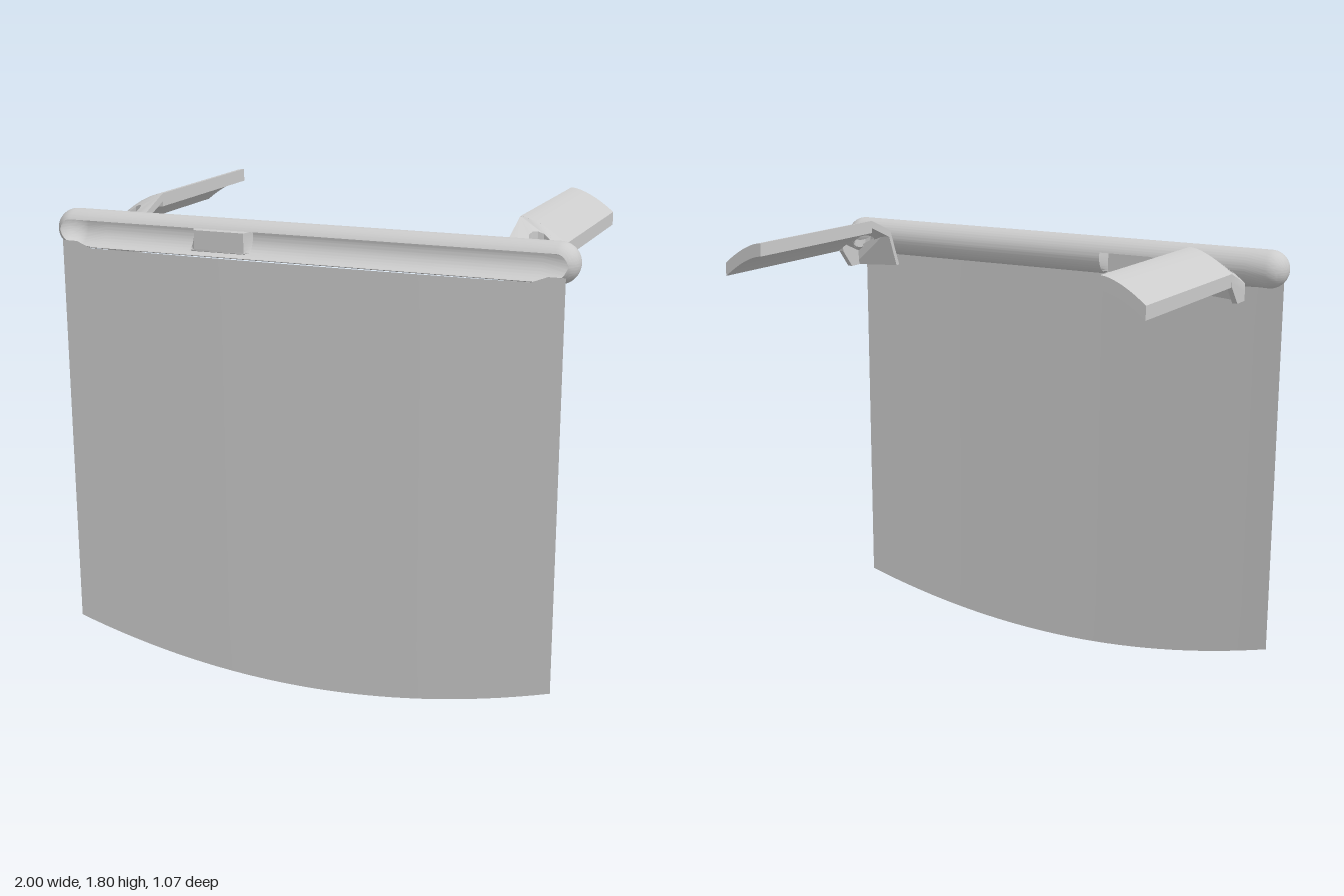
import * as THREE from 'three';
import { toCreasedNormals } from 'three/addons/utils/BufferGeometryUtils.js';
import { ConvexGeometry } from 'three/addons/geometries/ConvexGeometry.js';

const material = new THREE.MeshStandardMaterial({ color: 0xcccccc, side: THREE.DoubleSide });

function addMesh(parent, name, geometry) {
  const mesh = new THREE.Mesh(geometry, material);
  mesh.name = name;
  parent.add(mesh);
}

// Surface through rows x cols points given by a rule
function gridSurface(rows, cols, point) {
  const positions = [], index = [];
  for (let i = 0; i <= rows; i++) {
    for (let j = 0; j <= cols; j++) {
      positions.push(...point(i, j));
      if (i === rows || j === cols) continue;
      const a = i * (cols + 1) + j, b = a + cols + 1;
      index.push(a, b, a + 1, b, b + 1, a + 1);
    }
  }
  const geometry = new THREE.BufferGeometry();
  geometry.setAttribute('position', new THREE.Float32BufferAttribute(positions, 3));
  geometry.setIndex(index);
  geometry.computeVertexNormals();
  return geometry;
}

// Hollow round-ended bar, open along its front, with a pocket in its back
function barGeometry() {
  const R = 0.073, straight = 0.927, cy = 1.695, cz = 0.467, cols = 80;
  const stations = [-0.85, -0.485, -0.48, -0.46, -0.26, -0.24, -0.235, 0, 0.4, 0.85];
  for (let k = 0; k <= 12; k++) {
    const x = straight + R * Math.sin(k / 12 * Math.PI / 2);
    stations.push(x, -x);
  }
  stations.sort((a, b) => a - b);
  const bar = gridSurface(stations.length - 1, cols, (i, j) => {
    const x = stations[i];
    const over = Math.max(0, Math.abs(x) - straight);
    const r = Math.sqrt(Math.max(0, R * R - over * over));
    const upper = r > 0.061 ? Math.acos(0.061 / r) : 0;
    const lower = upper * (Math.abs(x) < 0.9 ? 1.9 : 1.2);
    const a = upper + (Math.PI * 2 - upper - lower) * j / cols;
    const y = cy + r * Math.sin(a);
    let z = cz + r * Math.cos(a);
    const inPocket = x > -0.47 && x < -0.25 && y > 1.633 && y < 1.712;
    if (inPocket && Math.cos(a) < 0) z = Math.max(z, 0.435);
    return [x, y, z];
  });
  return toCreasedNormals(bar, 0.6);
}

// Thin, slightly bowed sheet with a curved lower edge
function sheetGeometry() {
  const rows = 32, cols = 8;
  return gridSurface(rows, cols, (i, j) => {
    const t = i / rows * 2 - 1;
    const bottom = 0.138 * t * t;
    const top = Math.abs(t) > 0.93 ? 1.655 : 1.632;
    return [t * 0.963, bottom + (top - bottom) * j / cols, 0.523 + 0.014 * (1 - t * t)];
  });
}

// Height of the arched upper face across an arm
const inner = 0.71, outer = 0.88, bend = 0.2, tip = 0.335;
const arch = x => 1.797 - 0.087 * Math.pow(Math.max(0, (x - inner) / (outer - inner)), 1.6);

function armGeometry() {
  const top = [], bottom = [], n = 12;
  for (let i = 0; i <= n; i++) {
    const x = inner + (outer - inner) * i / n;
    top.push(new THREE.Vector2(x, arch(x)));
    bottom.unshift(new THREE.Vector2(x, arch(x) - 0.05));
  }
  const geometry = new THREE.ExtrudeGeometry(new THREE.Shape([...top, ...bottom]),
    { depth: 0.73, bevelEnabled: false });
  geometry.translate(0, 0, -0.53);
  return toCreasedNormals(geometry, 0.5);
}

// Sloping plate with a round hole
function plateGeometry() {
  const near = [], far = [], n = 8;
  for (let i = 0; i <= n; i++) {
    const x = inner + (outer - inner) * i / n;
    near.push(new THREE.Vector2(x, bend));
    far.unshift(new THREE.Vector2(x, tip));
  }
  const shape = new THREE.Shape([...near, ...far]);
  const hole = [];
  for (let i = 0; i < 12; i++) {
    const a = i / 12 * Math.PI * 2;
    hole.push(new THREE.Vector2(0.808 + 0.041 * Math.cos(a), 0.283 + 0.046 * Math.sin(a)));
  }
  shape.holes.push(new THREE.Path(hole));
  const geometry = new THREE.ExtrudeGeometry(shape, { depth: 0.03, bevelEnabled: false });
  geometry.rotateX(Math.PI / 2);
  const p = geometry.attributes.position;
  for (let i = 0; i < p.count; i++) {
    p.setY(i, p.getY(i) + arch(p.getX(i)) - 0.4 * (p.getZ(i) - bend));
  }
  geometry.computeVertexNormals();
  return toCreasedNormals(geometry, 0.5);
}

// Outer wall below the sloping plate, drawn as z, y
function wallGeometry() {
  const outline = [[0.2, 1.708], [0.205, 1.66], [0.265, 1.59], [tip, 1.59], [tip, 1.655]];
  const shape = new THREE.Shape(outline.map(([z, y]) => new THREE.Vector2(z, y)));
  const geometry = new THREE.ExtrudeGeometry(shape, { depth: 0.02, bevelEnabled: false });
  geometry.rotateY(-Math.PI / 2);
  geometry.translate(outer, 0, 0);
  return geometry;
}

// Slanting front wall that meets the bar
function footGeometry() {
  const corners = [[inner, 1.743, tip], [outer, 1.656, tip], [outer, 1.59, tip], [inner, 1.59, 0.398]];
  const points = [];
  for (const [x, y, z] of corners) {
    points.push(new THREE.Vector3(x, y, z), new THREE.Vector3(x, y, z - 0.02));
  }
  return new ConvexGeometry(points);
}

function createClip(name, side) {
  const clip = new THREE.Group();
  clip.name = name;
  addMesh(clip, 'arm', armGeometry());
  addMesh(clip, 'holedPlate', plateGeometry());
  addMesh(clip, 'outerWall', wallGeometry());
  addMesh(clip, 'frontFoot', footGeometry());
  clip.scale.x = side;
  return clip;
}

export function createModel() {
  const model = new THREE.Group();
  model.name = 'visor';
  addMesh(model, 'bar', barGeometry());
  addMesh(model, 'sheet', sheetGeometry());
  model.add(createClip('leftClip', 1), createClip('rightClip', -1));
  return model;
}
